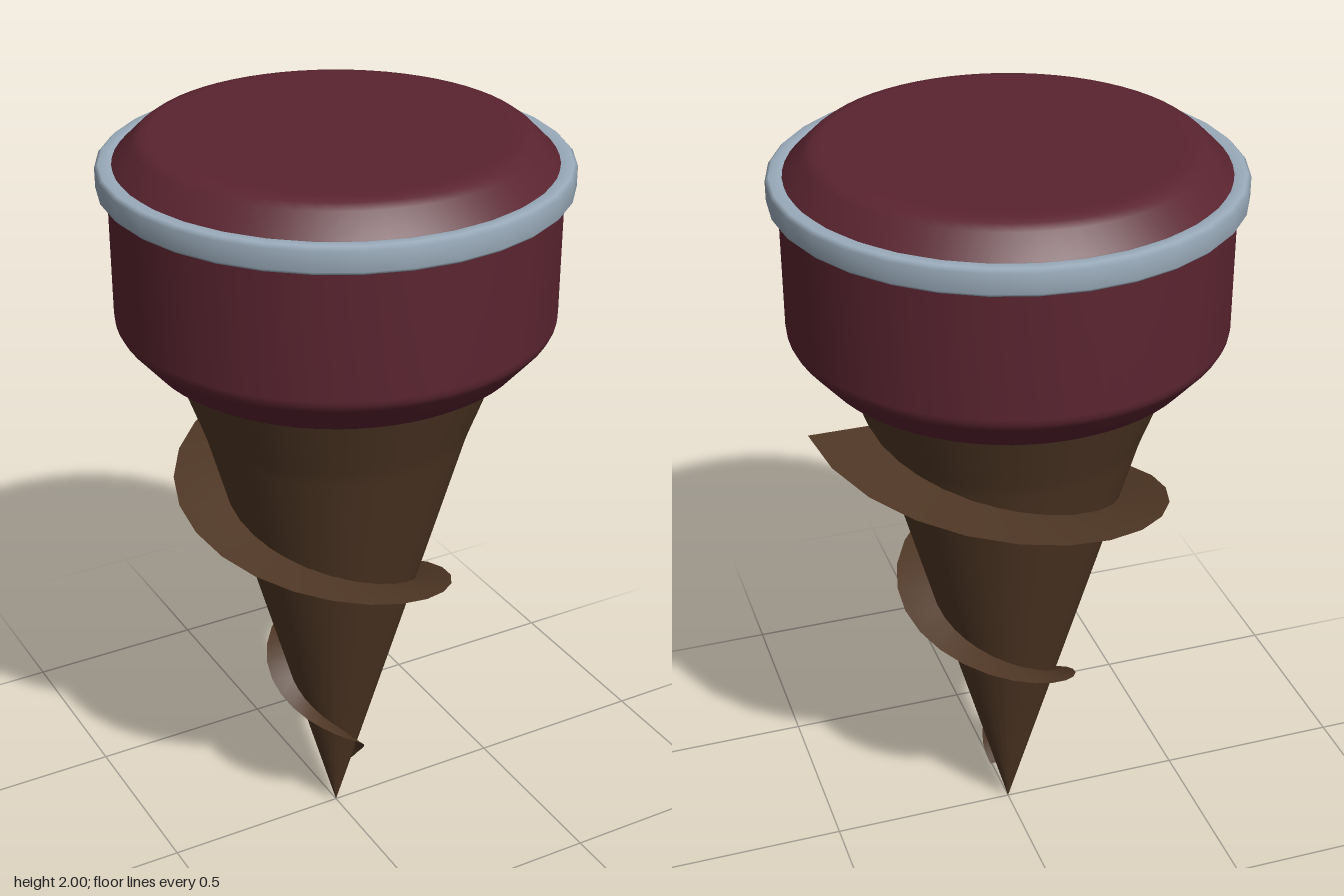
import * as THREE from 'three';

const bodyRed = new THREE.MeshStandardMaterial({ color: 0x5a2430 });
bodyRed.name = 'dark red';
const steel = new THREE.MeshStandardMaterial({ color: 0x9aabba });
steel.name = 'pale steel';
const brown = new THREE.MeshStandardMaterial({ color: 0x4e3624 });
brown.name = 'dark brown';
const bladeBrown = new THREE.MeshStandardMaterial({ color: 0x4e3624, side: THREE.DoubleSide });
bladeBrown.name = 'blade brown';

function lathe(name, profile, segments, material) {
  const points = profile.map(([r, y]) => new THREE.Vector2(r, y));
  const mesh = new THREE.Mesh(new THREE.LatheGeometry(points, segments), material);
  mesh.name = name;
  return mesh;
}

// Spiral ribbon with level rulings that widens as it climbs the cone
function bladeGeometry(turns, yLow, yHigh, steps) {
  const positions = [];
  const index = [];
  for (let i = 0; i <= steps; i++) {
    const t = i / steps;
    const a = t * turns * Math.PI * 2;
    const y = yLow + (yHigh - yLow) * t;
    for (const r of [y * 0.26, y * 0.405]) {
      positions.push(Math.cos(a) * r, y, Math.sin(a) * r);
    }
    if (i < steps) {
      const k = i * 2;
      index.push(k, k + 2, k + 1, k + 1, k + 2, k + 3);
    }
  }
  const geometry = new THREE.BufferGeometry();
  geometry.setAttribute('position', new THREE.Float32BufferAttribute(positions, 3));
  geometry.setIndex(index);
  geometry.computeVertexNormals();
  return geometry;
}

export function createModel() {
  const model = new THREE.Group();
  model.name = 'drill';

  // Pointed core, flaring slightly where it meets the housing
  model.add(lathe('drillCone', [
    [0, 0], [0.175, 0.625], [0.34, 1.215], [0.352, 1.25], [0.367, 1.29], [0.425, 1.45],
  ], 32, brown));

  // Two-turn cutting blade
  const blade = new THREE.Mesh(bladeGeometry(2, 0.13, 1.29, 48), bladeBrown);
  blade.name = 'spiralBlade';
  model.add(blade);

  // Housing with chamfered rims
  model.add(lathe('housing', [
    [0, 1.43], [0.43, 1.43], [0.455, 1.432], [0.475, 1.445], [0.54, 1.52], [0.548, 1.535],
    [0.55, 1.55], [0.55, 1.88], [0.546, 1.915], [0.535, 1.935], [0.486, 1.983],
    [0.468, 1.996], [0.445, 2], [0.42, 2], [0, 2],
  ], 64, bodyRed));

  // Metal band around the upper edge
  model.add(lathe('metalBand', [
    [0.54, 1.868], [0.568, 1.868], [0.577, 1.877], [0.577, 1.926], [0.568, 1.935],
    [0.545, 1.935], [0.53, 1.93],
  ], 32, steel));

  return model;
}
